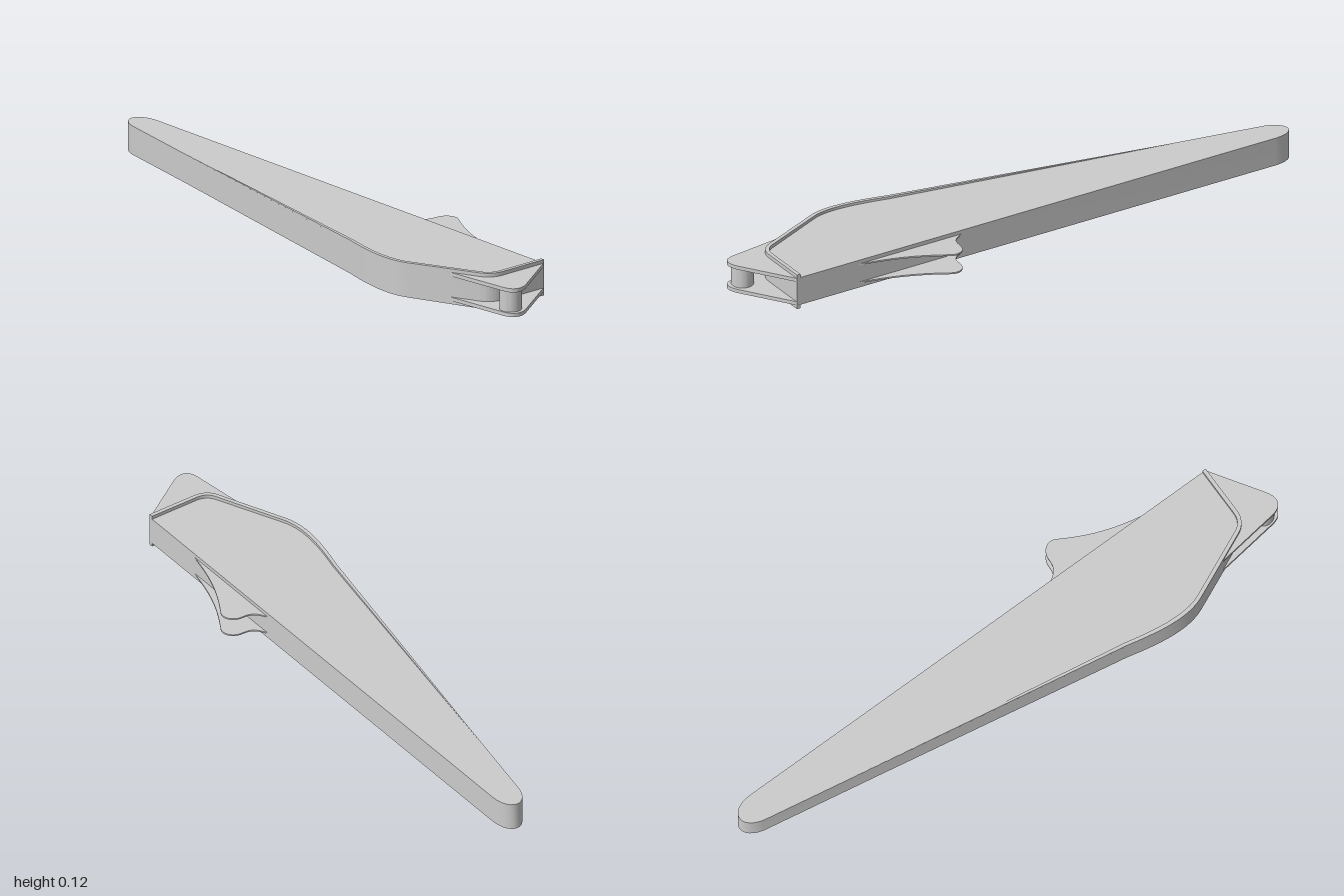
import * as THREE from 'three';
import { toCreasedNormals } from 'three/addons/utils/BufferGeometryUtils.js';

const HEIGHT = 0.12, SKIN = 0.012;      // overall height, depth of the raised rim
const RIM_BACK = -0.66, RIM_FRONT = 0.873;
const material = new THREE.MeshStandardMaterial({ color: 0xcccccc, side: THREE.DoubleSide });

function add(group, name, geometry) {
  const mesh = new THREE.Mesh(toCreasedNormals(geometry, 0.5), material);
  mesh.name = name;
  group.add(mesh);
  return mesh;
}

// Flat plate: outline drawn in (x, -z), standing from y0 to y1
function plate(shape, y0, y1) {
  return new THREE.ExtrudeGeometry(shape, { depth: y1 - y0, bevelEnabled: false, curveSegments: 14 })
    .rotateX(-Math.PI / 2).translate(0, y0, 0);
}

// Bulged edge and front edge, shared by the body and its rim
function traceEdge(path) {
  path.lineTo(-0.205, -0.33);
  path.bezierCurveTo(-0.23, -0.45, -0.242, -0.55, -0.205, -0.62);
  path.lineTo(-0.1, -0.835);
  path.quadraticCurveTo(-0.08, -0.873, -0.035, -0.873);
  path.lineTo(0.135, -RIM_FRONT);
  return path;
}

function bodyShape() {
  const s = new THREE.Shape();
  s.moveTo(-0.02, 0.945);
  traceEdge(s);
  s.lineTo(0.074, 0.93);
  s.bezierCurveTo(0.07, 1.02, 0.0, 1.03, -0.02, 0.945);
  return s;
}

// Rim strip on the top face, its height and width fading toward the tip
function rimGeometry() {
  const path = new THREE.Path();
  path.moveTo(-0.061, -RIM_BACK);
  const pts = traceEdge(path).getPoints(14);
  const pos = [], index = [], n = pts.length;
  pts.forEach((p, i) => {
    const before = p.clone().sub(pts[Math.max(i - 1, 0)]).normalize();
    const after = pts[Math.min(i + 1, n - 1)].clone().sub(p).normalize();
    const dir = before.add(after).normalize();
    const t = (-p.y - RIM_BACK) / (RIM_FRONT - RIM_BACK);
    const w = 0.002 + 0.011 * Math.min(1, t * 1.3);
    const ix = p.x - dir.y * w, iz = -(p.y + dir.x * w);
    const low = HEIGHT - SKIN - 0.001, top = HEIGHT - SKIN * (1 - t);
    pos.push(p.x, low, -p.y, p.x, top, -p.y, ix, top, iz, ix, low, iz);
    if (i === n - 1) return;
    for (let j = 0; j < 4; j++) {
      const a = i * 4 + j, d = i * 4 + (j + 1) % 4;
      index.push(a, a + 4, d + 4, a, d + 4, d);
    }
  });
  const e = (n - 1) * 4;
  index.push(0, 1, 2, 0, 2, 3, e, e + 2, e + 1, e, e + 3, e + 2);
  const g = new THREE.BufferGeometry();
  g.setAttribute('position', new THREE.Float32BufferAttribute(pos, 3));
  g.setIndex(index);
  g.computeVertexNormals();
  return g;
}

// Rounded triangular lug carrying the front boss
function lugShape() {
  const s = new THREE.Shape();
  s.moveTo(-0.145, -0.745);
  s.lineTo(-0.11, -0.955);
  s.bezierCurveTo(-0.103, -1.005, -0.07, -1.008, -0.035, -0.985);
  s.lineTo(0.133, -0.873);
  s.lineTo(0.1, -0.8);
  return s;
}

// Thin swept ear on the straight side
function earShape() {
  const s = new THREE.Shape();
  s.moveTo(0.09, -0.25);
  s.lineTo(0.112, -0.25);
  s.bezierCurveTo(0.135, -0.295, 0.15, -0.297, 0.18, -0.298);
  s.bezierCurveTo(0.215, -0.298, 0.24, -0.33, 0.219, -0.362);
  s.bezierCurveTo(0.17, -0.45, 0.145, -0.52, 0.126, -0.645);
  s.lineTo(0.09, -0.645);
  return s;
}

export function createModel() {
  const model = new THREE.Group();
  model.name = 'arm';

  add(model, 'body', plate(bodyShape(), SKIN, HEIGHT - SKIN));

  // Rims on the top and bottom faces
  const rim = rimGeometry();
  add(model, 'topRim', rim);
  const bottomRim = add(model, 'bottomRim', rim);
  bottomRim.scale.y = -1;
  bottomRim.position.y = HEIGHT;

  // Front lugs and the boss between them
  add(model, 'lowerLug', plate(lugShape(), 0.0125, 0.025));
  add(model, 'upperLug', plate(lugShape(), 0.095, 0.1075));
  add(model, 'boss', new THREE.CylinderGeometry(0.036, 0.036, 0.072, 32).translate(-0.069, 0.06, 0.95));

  // Pair of side ears
  add(model, 'lowerEar', plate(earShape(), 0.026, 0.031));
  add(model, 'upperEar', plate(earShape(), 0.09, 0.095));

  return model;
}
